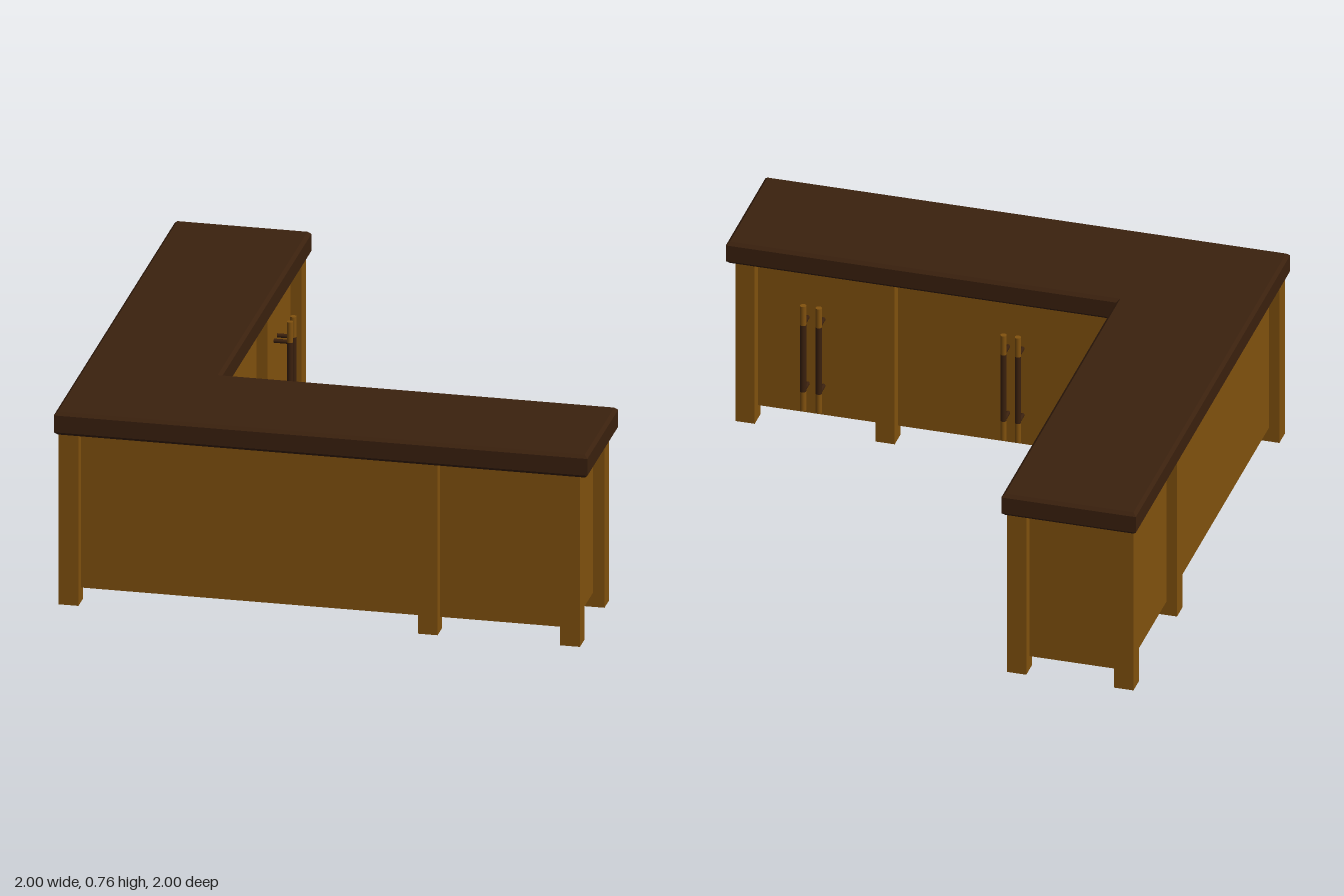
import * as THREE from 'three';

const wood = new THREE.MeshStandardMaterial({ color: 0x82520e });
wood.name = 'oak brown';
const dark = new THREE.MeshStandardMaterial({ color: 0x3b210e });
dark.name = 'dark walnut';

// L outline in plan: left arm from the back, front arm to +x
function lPoints(left, right, back, front, innerX, innerZ) {
  return [[left, front], [right, front], [right, innerZ], [innerX, innerZ], [innerX, back], [left, back]]
    .map(([x, z]) => new THREE.Vector2(x, -z));
}

function addMesh(parent, name, geometry, material, x = 0, y = 0, z = 0) {
  const mesh = new THREE.Mesh(geometry, material);
  mesh.name = name;
  mesh.position.set(x, y, z);
  parent.add(mesh);
  return mesh;
}

// Bar handle facing +z, standing off from the cabinet panel
function makeHandle() {
  const handle = new THREE.Group();
  handle.name = 'handle';
  const r = 0.012;
  for (const y of [0.14, 0.5]) {
    addMesh(handle, 'handleEnd', new THREE.CylinderGeometry(r, r, 0.08, 12), wood, 0, y, 0);
  }
  addMesh(handle, 'handleGrip', new THREE.CylinderGeometry(r, r, 0.28, 12), dark, 0, 0.32, 0);
  for (const y of [0.18, 0.46]) {
    const post = addMesh(handle, 'handlePost', new THREE.CylinderGeometry(0.008, 0.008, 0.064, 10), dark, 0, y, -0.032);
    post.rotation.x = Math.PI / 2;
  }
  return handle;
}

export function createModel() {
  const model = new THREE.Group();
  model.name = 'cornerCounter';

  // Countertop with chamfered edges
  const bevel = 0.012;
  const top = new THREE.ExtrudeGeometry(new THREE.Shape(lPoints(-1, 0.998, -1, 1, -0.488, 0.488)), {
    depth: 0.09 - 2 * bevel, bevelEnabled: true, bevelSegments: 1,
    bevelSize: bevel, bevelThickness: bevel, bevelOffset: -bevel,
  });
  top.rotateX(-Math.PI / 2);
  addMesh(model, 'countertop', top, dark, 0, 0.666 + bevel, 0);

  // Cabinet walls: one thin L-shaped shell, open underneath
  const t = 0.012;
  const shell = new THREE.Shape(lPoints(-0.945, 0.925, -0.94, 0.945, -0.545, 0.545));
  shell.holes.push(new THREE.Path(
    lPoints(-0.945 + t, 0.925 - t, -0.94 + t, 0.945 - t, -0.545 - t, 0.545 + t).reverse()));
  const walls = new THREE.ExtrudeGeometry(shell, { depth: 0.611, bevelEnabled: false });
  walls.rotateX(-Math.PI / 2);
  addMesh(model, 'cabinetWalls', walls, wood, 0, 0.057, 0);

  // Square legs along both arms
  const legGeometry = new THREE.BoxGeometry(0.074, 0.667, 0.074);
  const legs = [[-0.948, 0.948], [-0.54, 0.542]];
  for (const z of [-0.378, -0.942]) legs.push([-0.948, z], [-0.54, z]);
  for (const x of [0.397, 0.93]) legs.push([x, 0.948], [x, 0.542]);
  for (const [x, z] of legs) addMesh(model, 'leg', legGeometry, wood, x, 0.3335, z);

  // Handle pairs on the inner faces
  for (const x of [-0.115, -0.06, 0.643, 0.703]) {
    const handle = makeHandle();
    handle.position.set(x, 0, 0.485);
    handle.rotation.y = Math.PI;
    model.add(handle);
  }
  for (const z of [0.105, 0.048, -0.632, -0.687]) {
    const handle = makeHandle();
    handle.position.set(-0.485, 0, z);
    handle.rotation.y = Math.PI / 2;
    model.add(handle);
  }
  return model;
}
